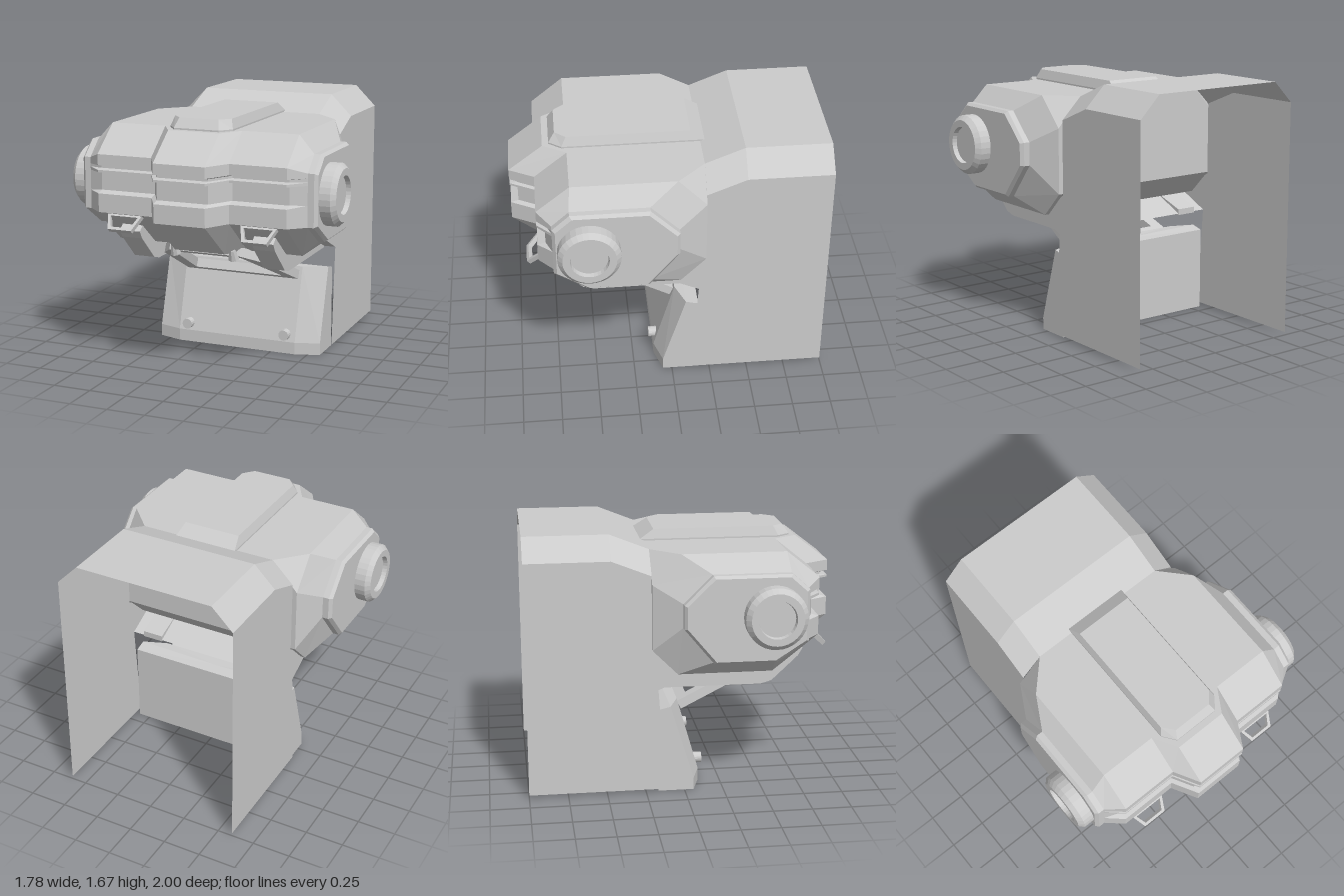
import * as THREE from 'three';

const material = new THREE.MeshStandardMaterial({ color: 0xcccccc, flatShading: true, side: THREE.DoubleSide });

function add(parent, name, geometry, x = 0, y = 0, z = 0) {
  const mesh = new THREE.Mesh(geometry, material);
  mesh.name = name;
  mesh.position.set(x, y, z);
  parent.add(mesh);
  return mesh;
}

// Skin between matching rings of [x, y, z]; closed solids get fan caps and outward faces.
function loft(rings, closed = true) {
  const tris = [];
  const n = rings[0].length;
  for (let r = 0; r < rings.length - 1; r++) {
    const a = rings[r], b = rings[r + 1];
    for (let i = 0; i < (closed ? n : n - 1); i++) {
      const j = (i + 1) % n;
      tris.push([a[i], a[j], b[j]], [a[i], b[j], b[i]]);
    }
  }
  if (closed) {
    [rings[0], rings[rings.length - 1]].forEach((ring, end) => {
      const c = [0, 1, 2].map(k => ring.reduce((s, p) => s + p[k], 0) / n);
      ring.forEach((p, i) => {
        const q = ring[(i + 1) % n];
        tris.push(end ? [c, p, q] : [c, q, p]);
      });
    });
  }
  const v = t => t.map(p => new THREE.Vector3(...p));
  const volume = tris.reduce((s, t) => { const [a, b, c] = v(t); return s + a.dot(b.cross(c)); }, 0);
  if (volume < 0) tris.forEach(t => t.reverse());
  const g = new THREE.BufferGeometry();
  g.setAttribute('position', new THREE.Float32BufferAttribute(tris.flat(2), 3));
  g.computeVertexNormals();
  return g;
}

const shapeOf = pts => new THREE.Shape(pts.map(p => new THREE.Vector2(...p)));
const mirrorX = half => [...half, ...half.map(([x, y]) => [-x, y]).reverse()];

// Frame plate: outer and inner half outlines in x, y, extruded backwards
function framePlate(outer, inner, depth) {
  const shape = shapeOf(mirrorX(outer));
  shape.holes.push(new THREE.Path(mirrorX(inner).map(p => new THREE.Vector2(...p))));
  return new THREE.ExtrudeGeometry(shape, { depth, bevelEnabled: false }).translate(0, 0, -depth);
}

// Head section at x: [z, y] corners, with two grooves and a rail across the front
function headSection(x, top, back, bottom, zf, yHi, yLo, d) {
  const front = [[zf, yLo], [zf, 1.15], [zf - d, 1.165], [zf - d, 1.28], [zf, 1.285],
    [zf, 1.30], [zf - d, 1.305], [zf - d, 1.32], [zf, 1.33], [zf, yHi]];
  return [top, ...back, bottom, ...front].map(([z, y]) => [x, y, z]);
}

function buildHead() {
  const rear = [[-0.21, 1.57], [-0.21, 1.57], [-0.21, 0.96], [-0.05, 0.80]];
  const corner = [[-0.03, 1.57], [-0.21, 1.38], [-0.21, 0.96], [-0.05, 0.80]];
  const cheek = [[0.15, 1.46], [-0.03, 1.28], [-0.03, 1.13], [0.16, 0.90]];
  const half = [
    headSection(0.17, [0.78, 1.57], rear, [0.70, 0.80], 1.0, 1.40, 1.03, 0.05),
    headSection(0.26, [0.63, 1.57], rear, [0.55, 0.80], 0.84, 1.40, 1.03, 0.05),
    headSection(0.46, [0.63, 1.57], rear, [0.55, 0.80], 0.84, 1.40, 1.03, 0.05),
    headSection(0.63, [0.63, 1.57], corner, [0.55, 0.80], 0.84, 1.40, 1.03, 0.05),
    headSection(0.73, [0.64, 1.46], cheek, [0.55, 0.90], 0.75, 1.36, 1.03, 0),
    headSection(0.77, [0.64, 1.46], cheek, [0.55, 0.90], 0.75, 1.36, 1.03, 0),
  ];
  // slightly inset outer face of the cheek plate
  half.push(half[5].map(([, y, z]) => [0.79, 1.18 + (y - 1.18) * 0.94, 0.36 + (z - 0.36) * 0.95]));
  const mirrored = half.map(s => s.map(([x, y, z]) => [-x, y, z])).reverse();
  return loft([...mirrored, ...half]);
}

export function createModel() {
  const model = new THREE.Group();
  model.name = 'model';

  add(model, 'head', buildHead());

  // Raised ridge along the top of the head
  const ridge = (w, c, front, nose, back, y) =>
    mirrorX([[w, back], [w, front], [c, nose]]).map(([x, z]) => [x, y, z]);
  add(model, 'topRidge', loft([
    ridge(0.21, 0.15, 0.66, 0.74, -0.24, 1.55),
    ridge(0.21, 0.15, 0.66, 0.74, -0.24, 1.58),
    ridge(0.19, 0.13, 0.63, 0.70, -0.15, 1.64),
  ]));

  // Rear shell: roof strip with sloping shoulders, open behind and below
  const roof = (z, drop) => [[-0.6, 1.53 - drop, z], [-0.46, 1.67 - drop, z], [0.46, 1.67 - drop, z], [0.6, 1.53 - drop, z]];
  add(model, 'shellRoof', loft([roof(-1, 0), roof(-0.46, 0), roof(-0.21, 0.1)], false));
  const wall = shapeOf([[-1, 0.02], [-0.12, 0.02], [-0.17, 0.69], [0.05, 0.79], [-0.21, 0.95],
    [-0.21, 1.43], [-0.46, 1.53], [-1, 1.53]]);
  for (const s of [-1, 1]) {
    add(model, s > 0 ? 'leftShellWall' : 'rightShellWall', new THREE.ShapeGeometry(wall).rotateY(-Math.PI / 2), s * 0.6);
  }
  add(model, 'shellCollar', loft([
    [[-0.6, 0.79, 0.05], [0.6, 0.79, 0.05]],
    [[-0.6, 0.69, -0.17], [0.6, 0.69, -0.17]],
  ], false));

  // Chest plate with angled sides
  const chest = (y, side, mid, backY) => mirrorX([[0.58, -0.17], [0.58, side], [0.42, mid]])
    .map(([x, z]) => [x, z === -0.17 ? backY : y, z]);
  add(model, 'chestPlate', loft([
    chest(0, 0.06, 0.11, 0), chest(0.08, 0.06, 0.11, 0.08), chest(0.57, -0.09, -0.03, 0.55),
  ]));

  // Sloping open frame under the chin
  const chin = add(model, 'chinFrame', framePlate(
    [[0.4, 0], [0.335, 0.56], [0.24, 0.70]], [[0.31, 0.07], [0.23, 0.64]], 0.06).translate(0, 0, 0.06), 0, 0.49, 0);
  chin.geometry.translate(0, 0, -0.06);
  chin.rotation.x = Math.atan2(0.64, 0.29);
  // plate thickness lies above its underside
  chin.rotation.order = 'XYZ';

  // Paired parts
  const strap = shapeOf([[0.72, 0.95], [0.77, 0.91], [0.74, 0.86], [0.57, 0.70], [0.5, 0.68],
    [-0.17, 0.68], [-0.17, 0.72], [0.1, 0.81], [0.55, 0.82]]);
  const strapGeometry = new THREE.ExtrudeGeometry(strap, { depth: 0.14, bevelEnabled: false })
    .translate(0, 0, -0.07).rotateY(-Math.PI / 2);
  const handleGeometry = framePlate([[0.12, 0], [0.08, 0.12]], [[0.095, 0.02], [0.065, 0.1]], 0.03);
  const earProfile = [[0, 0.07], [0.115, 0.07], [0.12, 0.1], [0.165, 0.1], [0.195, 0.07], [0.195, -0.03], [0, -0.03]];
  const earGeometry = new THREE.LatheGeometry(earProfile.map(p => new THREE.Vector2(...p)).reverse(), 32);
  const boltGeometry = new THREE.CylinderGeometry(0.035, 0.035, 0.08, 16).rotateX(Math.PI / 2);
  const knobGeometry = new THREE.CylinderGeometry(0.02, 0.035, 0.07, 8);

  for (const s of [-1, 1]) {
    const side = s > 0 ? 'left' : 'right';
    const ear = add(model, side + 'EarDisc', earGeometry, s * 0.79, 1.2, 0.53);
    ear.rotation.z = -s * Math.PI / 2;
    add(model, side + 'JawStrap', strapGeometry, s * 0.45);
    // small trapezoid handle pointing forward and down
    const handle = add(model, side + 'Handle', handleGeometry, s * 0.45, 1.01, 0.81);
    handle.rotation.x = Math.PI * 0.75;
    add(model, side + 'Bolt', boltGeometry, s * 0.35, 0.13, 0.1);
    const knob = add(model, side + 'ChinKnob', knobGeometry, s * 0.2, 0.79, 0.64);
    knob.rotation.x = 0.4;
  }
  return model;
}
